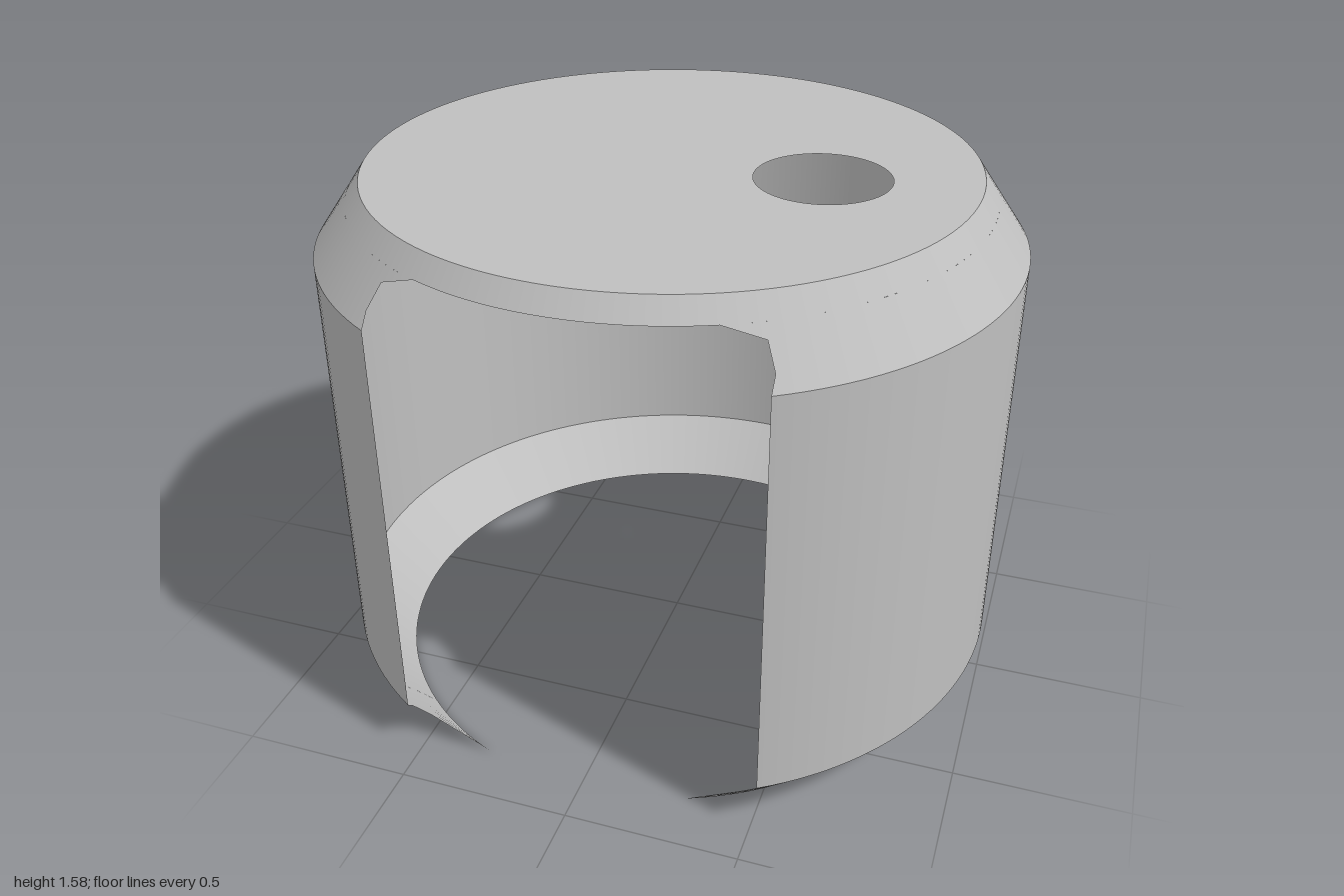
import * as THREE from 'three';

const SEG = 128;

// Outer radius of the shell at a given height
function radiusAt(y) {
  if (y < 0.17) return 0.845 + (0.155 * y) / 0.17;
  if (y > 1.38) return 1 - (0.14 * (y - 1.38)) / 0.2;
  return 1;
}

// Thin wall swept round y; each row is [height, half width of the front opening].
// slope is the upward part of the outward normal.
function wall(rows, slope) {
  const pos = [], nor = [], idx = [];
  const n = new THREE.Vector3();
  rows.forEach(([y, half], j) => {
    const r = radiusAt(y);
    const gap = Math.asin(half / r);
    for (let i = 0; i <= SEG; i++) {
      const a = gap + ((2 * Math.PI - 2 * gap) * i) / SEG;
      pos.push(r * Math.sin(a), y, r * Math.cos(a));
      n.set(Math.sin(a), slope, Math.cos(a)).normalize();
      nor.push(n.x, n.y, n.z);
      if (j > 0 && i < SEG) {
        const q = j * (SEG + 1) + i, p = q - SEG - 1;
        idx.push(p, p + 1, q + 1, p, q + 1, q);
      }
    }
  });
  const g = new THREE.BufferGeometry();
  g.setAttribute('position', new THREE.Float32BufferAttribute(pos, 3));
  g.setAttribute('normal', new THREE.Float32BufferAttribute(nor, 3));
  g.setIndex(idx);
  return g;
}

export function createModel() {
  const group = new THREE.Group();
  group.name = 'openShell';
  const grey = new THREE.MeshStandardMaterial({ color: 0xbfbfbf, side: THREE.DoubleSide });
  grey.name = 'grey';

  const add = (name, geometry) => {
    geometry.translate(0, 0, 0.045);
    const mesh = new THREE.Mesh(geometry, grey);
    mesh.name = name;
    group.add(mesh);
  };

  // Bottom bevel, with the opening narrowing towards the rim
  add('bottomBevel', wall([[0, 0.3], [0.095, 0.485], [0.145, 0.52], [0.17, 0.52]], -0.155 / 0.17));
  // Straight wall beside the front opening
  add('sideWall', wall([[0.17, 0.52], [1.38, 0.52]], 0));
  // Top bevel: cut by the rounded head of the opening, then a full ring
  add('topBevel', wall([[1.38, 0.52], [1.42, 0.52], [1.485, 0.49], [1.52, 0.385]], 0.7));
  add('topRing', wall([[1.52, 0], [1.58, 0]], 0.7));

  // Flat lid with an off-centre round hole
  const lid = new THREE.Shape().absarc(0, 0, 0.86, 0, Math.PI * 2, false);
  lid.holes.push(new THREE.Path().absarc(0.43, 0, 0.19, 0, Math.PI * 2, true));
  const lidGeometry = new THREE.ShapeGeometry(lid, SEG / 2);
  lidGeometry.rotateX(-Math.PI / 2);
  lidGeometry.translate(0, 1.58, 0);
  add('lid', lidGeometry);

  return group;
}
